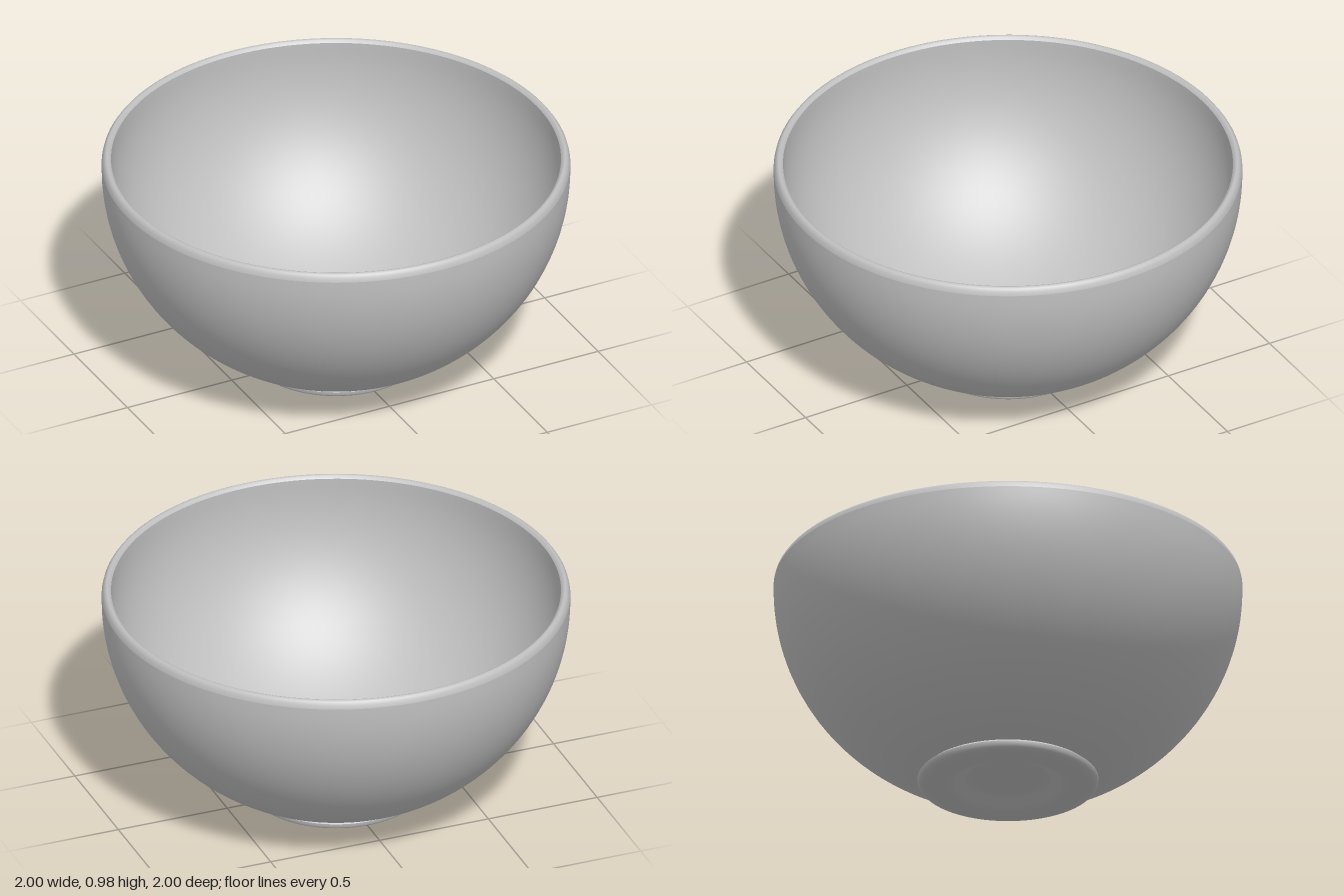
import * as THREE from 'three';

const SEGMENTS = 128;

// Quarter-ellipse wall profile between two radii, hung from the rim centre height
function wallArc(a, b, centreY, rStart, rEnd, topY, steps = 40) {
  const t0 = Math.acos(Math.min(1, rStart / a));
  const t1 = Math.acos(Math.min(1, rEnd / a));
  const pts = [];
  for (let i = 0; i <= steps; i++) {
    const t = t0 + (t1 - t0) * (i / steps);
    pts.push([a * Math.cos(t), centreY - b * Math.sin(t)]);
  }
  // short upright lip, at the end of the arc that reaches full radius
  if (rStart > rEnd) pts.unshift([a, topY]);
  else pts.push([a, topY]);
  return pts;
}

// Smooth step from one height to another between two radii
function step(r0, y0, r1, y1, steps = 14) {
  return Array.from({ length: steps + 1 }, (_, i) => {
    const t = i / steps;
    return [r0 + (r1 - r0) * t, y0 + (y1 - y0) * t * t * (3 - 2 * t)];
  });
}

export function createModel() {
  const bowl = new THREE.Group();
  bowl.name = 'bowl';
  const ceramic = new THREE.MeshStandardMaterial({ color: 0xc0c0c0 });
  ceramic.name = 'grey ceramic';

  // Each band is its own lathe, so the joins between bands stay crisp
  function band(name, profile) {
    const pts = profile.map(([r, y]) => new THREE.Vector2(r, y));
    const mesh = new THREE.Mesh(new THREE.LatheGeometry(pts, SEGMENTS), ceramic);
    mesh.name = name;
    bowl.add(mesh);
  }

  // Underside with its hollow centre
  band('footUnderside', [[0, 0.04], [0.1, 0.04], ...step(0.16, 0.04, 0.26, 0), [0.3, 0], [0.345, 0]]);

  // Foot ring: rounded lower edge, upright side, bevelled top
  band('footEdge', [[0.345, 0], [0.362, 0.003], [0.377, 0.01], [0.385, 0.02], [0.386, 0.034]]);
  band('footBevel', [[0.386, 0.034], [0.37, 0.046]]);

  // Outer wall
  band('outerWall', wallArc(1, 0.94, 0.92, 0.37, 1, 0.945));

  // Rounded rim
  band('rim', [[1, 0.945], [0.996, 0.962], [0.988, 0.974], [0.978, 0.98], [0.968, 0.976], [0.96, 0.966]]);

  // Inner wall
  band('innerWall', wallArc(0.96, 0.9, 0.92, 0.96, 0.325, 0.966));

  // Floor with its raised centre
  band('floor', [[0.325, 0.073], [0.3, 0.073], ...step(0.28, 0.073, 0.19, 0.112), [0.1, 0.112], [0, 0.112]]);

  return bowl;
}
